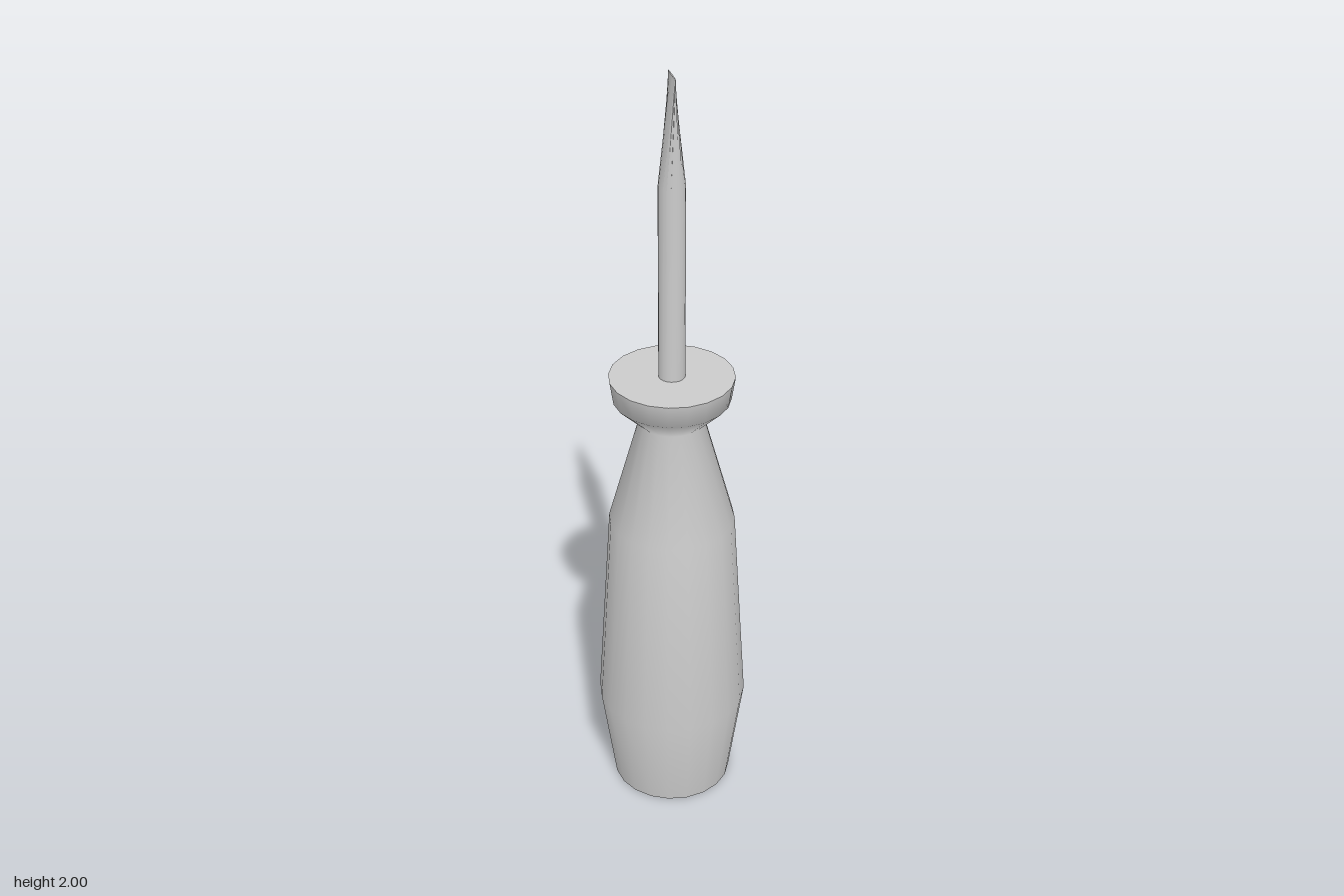
import * as THREE from 'three';
import { toCreasedNormals } from 'three/addons/utils/BufferGeometryUtils.js';

const SIDES = 20;
const material = new THREE.MeshStandardMaterial({ color: 0xcccccc });

function addPart(group, name, geometry) {
  const mesh = new THREE.Mesh(geometry, material);
  mesh.name = name;
  group.add(mesh);
  return mesh;
}

export function createModel() {
  const group = new THREE.Group();
  group.name = 'screwdriver';

  // Handle: turned profile from the butt, over the grip and neck, to the collar
  const profile = [
    [0.156, 0], [0.194, 0.27], [0.16, 0.82],
    [0.082, 1.105], [0.147, 1.17], [0.156, 1.23],
  ].map(([r, y]) => new THREE.Vector2(r, y));
  addPart(group, 'handle', new THREE.LatheGeometry(profile, SIDES));

  // Flat discs closing both ends of the handle
  const disc = new THREE.CircleGeometry(0.156, SIDES);
  const butt = addPart(group, 'handleButt', disc);
  butt.rotation.x = Math.PI / 2;
  const collar = addPart(group, 'collarTop', disc);
  collar.rotation.x = -Math.PI / 2;
  collar.position.y = 1.23;

  // Blade: round shaft whose top row is pinched in x to a flat chisel tip
  const bottom = 1.22, shoulder = 1.73, top = 2;
  const blade = new THREE.CylinderGeometry(0.033, 0.033, 2, SIDES, 2);
  const p = blade.attributes.position;
  for (let i = 0; i < p.count; i++) {
    const level = Math.round(p.getY(i));
    p.setY(i, [bottom, shoulder, top][level + 1]);
    if (level === 1) p.setX(i, p.getX(i) * 0.05);
  }
  addPart(group, 'blade', toCreasedNormals(blade, 0.7));

  return group;
}
